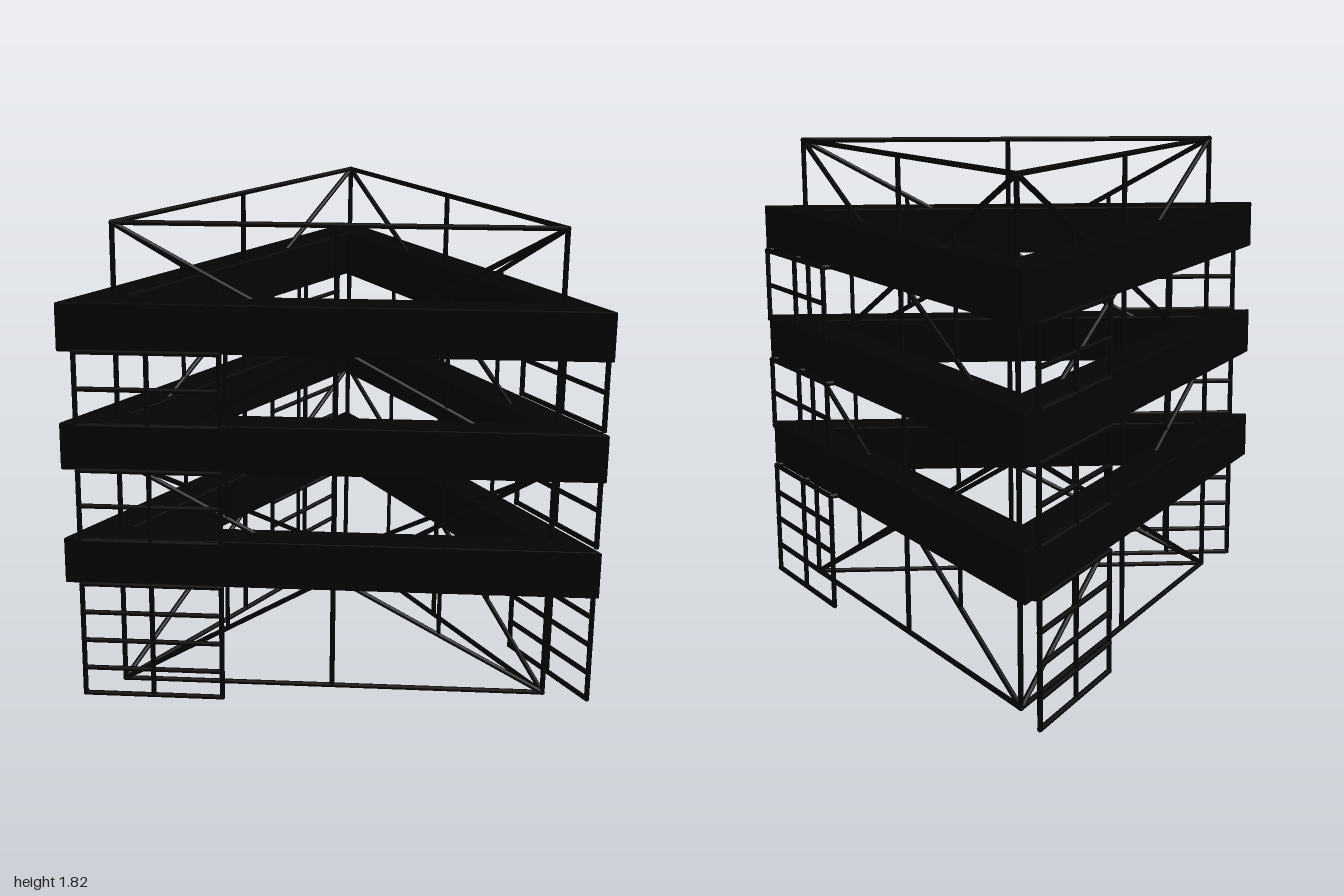
import * as THREE from 'three';

const material = new THREE.MeshStandardMaterial({ color: 0x040404 });
const R = 0.0098; // tube radius
const UP = new THREE.Vector3(0, 1, 0);

// round tube between two points
function tube(parent, name, a, b, r = R) {
  const p = new THREE.Vector3(...a), q = new THREE.Vector3(...b);
  const dir = q.clone().sub(p);
  const mesh = new THREE.Mesh(new THREE.CylinderGeometry(r, r, dir.length() + r, 8), material);
  mesh.position.copy(p).add(q).multiplyScalar(0.5);
  mesh.quaternion.setFromUnitVectors(UP, dir.normalize());
  mesh.name = name;
  parent.add(mesh);
}

// equilateral triangle outline with circumradius r, one corner towards -x
function trianglePoints(r) {
  return [1, 3, 5].map(i => new THREE.Vector2(
    r * Math.cos(i * Math.PI / 3), r * Math.sin(i * Math.PI / 3)));
}

const LEVELS = [0.01, 0.465, 0.915, 1.365, 1.812];
const BAND_BOTTOM = [0.456, 0.908, 1.359];
const BAND_HEIGHT = 0.182;
const BEVEL = 0.005;

// one face of the braced inner frame, in the plane x = X
function trussSide() {
  const side = new THREE.Group();
  side.name = 'trussSide';
  const X = 0.468, H = 0.811, top = LEVELS[4];
  tube(side, 'cornerPost', [X, LEVELS[0], H], [X, top, H]);
  tube(side, 'middlePost', [X, LEVELS[0], 0], [X, top, 0]);
  for (const y of LEVELS) tube(side, 'horizontalBeam', [X, y, -H], [X, y, H]);
  for (let i = 0; i < 4; i++) {
    // braces rise to the middle on even levels and fall to it on odd ones
    const y0 = LEVELS[i], y1 = LEVELS[i + 1], mid = (y0 + y1) / 2;
    const corner = i % 2 ? y1 : y0, centre = i % 2 ? y0 : y1;
    for (const s of [-1, 1]) {
      tube(side, 'diagonalBrace', [X, corner, s * H], [X, centre, 0]);
      tube(side, 'hanger', [X, mid, s * H / 2], [X, i === 3 ? y0 : y1, s * H / 2], 0.008);
    }
  }
  return side;
}

// ladder frames stacked on one outer face, hooked to the bands
function ladderSide() {
  const side = new THREE.Group();
  side.name = 'ladders';
  const X = 0.601, inner = 0.56, z0 = 0.403, z1 = 0.931;
  const bottoms = [0.011, 0.633, 1.085];
  bottoms.forEach((bottom, i) => {
    const top = BAND_BOTTOM[i] + 0.007;
    const steps = i === 0 ? 4 : 2;
    for (const z of [z0, (z0 + z1) / 2, z1]) {
      tube(side, 'ladderUpright', [X, bottom, z], [X, top, z]);
      tube(side, 'ladderHook', [inner, top, z], [X, top, z]);
    }
    // rungs evenly spaced down from the top, the last one closing the foot
    const gap = i === 0 ? 0.115 : 0.139;
    for (let k = 0; k <= steps; k++) {
      const y = Math.max(bottom, top - gap * k);
      tube(side, 'ladderRung', [X, y, z0], [X, y, z1]);
    }
  });
  return side;
}

export function createModel() {
  const model = new THREE.Group();
  model.name = 'triangularTower';

  const frame = new THREE.Group();
  frame.name = 'innerFrame';
  frame.position.x = 0.282;
  const shell = new THREE.Group();
  shell.name = 'outerShell';
  shell.position.x = 0.27;
  model.add(frame, shell);

  // three matching sides; the back ladders sit a little closer to the bands
  for (let k = 0; k < 3; k++) {
    const truss = trussSide(), ladders = ladderSide();
    truss.rotation.y = ladders.rotation.y = k * Math.PI * 2 / 3;
    if (k === 1) ladders.position.x = 0.008;
    frame.add(truss);
    shell.add(ladders);
  }

  // triangular floor bands with an open middle and softened edges
  const outline = new THREE.Shape(trianglePoints(1.152));
  outline.holes.push(new THREE.Path(trianglePoints(0.87)));
  const bandGeometry = new THREE.ExtrudeGeometry(outline, {
    depth: BAND_HEIGHT - 2 * BEVEL, bevelThickness: BEVEL, bevelSize: BEVEL,
    bevelOffset: -BEVEL, bevelSegments: 2,
  });
  bandGeometry.rotateX(-Math.PI / 2);
  for (const y of BAND_BOTTOM) {
    const band = new THREE.Mesh(bandGeometry, material);
    band.name = 'floorBand';
    band.position.y = y + BEVEL;
    shell.add(band);
  }
  return model;
}
